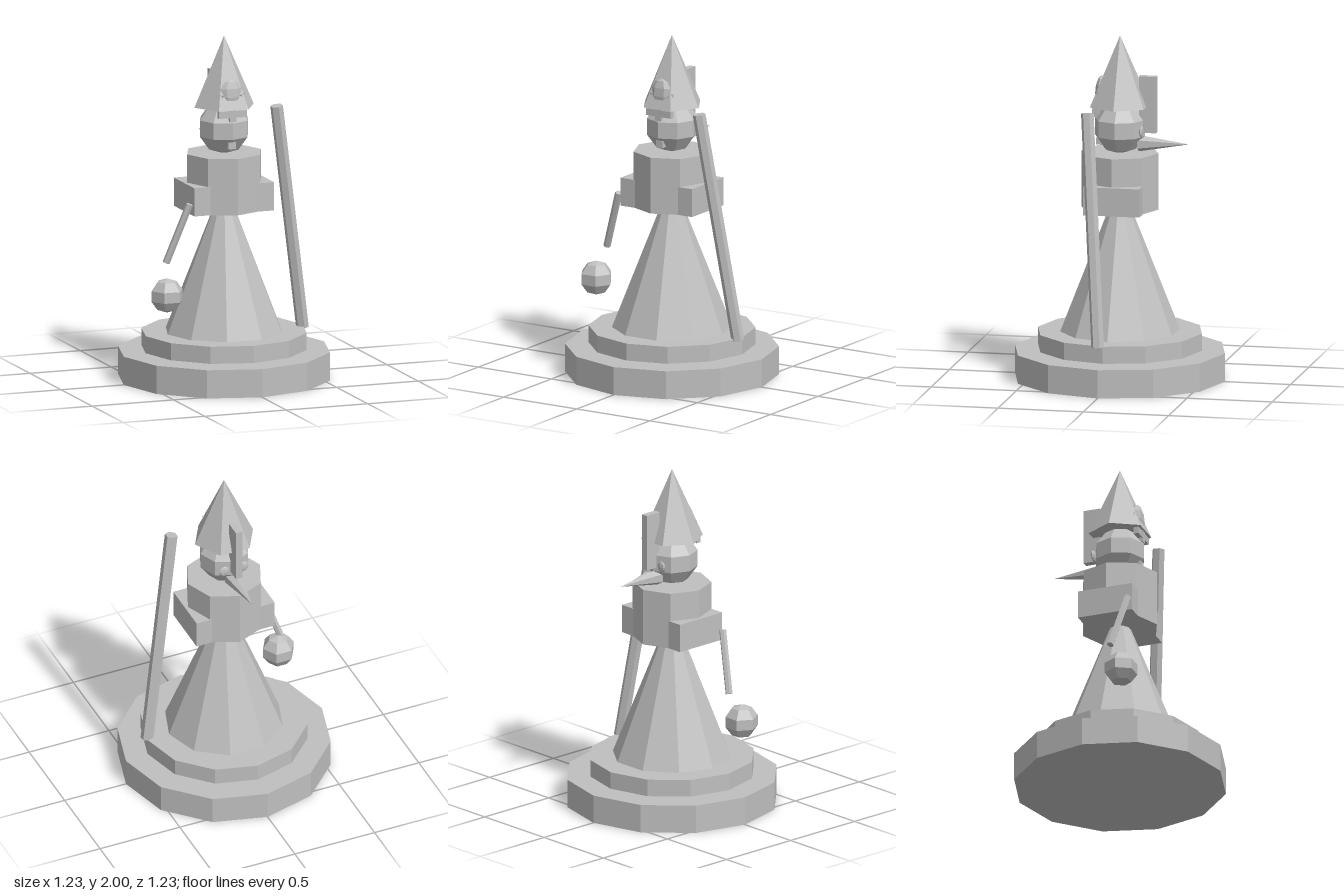
import * as THREE from 'three';

export function createModel() {
  const model = new THREE.Group();
  const stone = new THREE.MeshStandardMaterial({ color: 0xbfbfbf, flatShading: true });
  stone.name = 'stone grey';

  const add = (name, geometry, x = 0, y = 0, z = 0) => {
    const mesh = new THREE.Mesh(geometry, stone);
    mesh.name = name;
    mesh.position.set(x, y, z);
    model.add(mesh);
    return mesh;
  };

  // Upright faceted cylinder or cone with a corner on the x axis
  const column = (name, rTop, rBottom, y0, y1, sides) => {
    const g = new THREE.CylinderGeometry(rTop, rBottom, y1 - y0, sides);
    g.rotateY(Math.PI / 2);
    return add(name, g, 0, (y0 + y1) / 2, 0);
  };

  // Faceted rod between two points
  const rod = (name, from, to, r0, r1, sides) => {
    const a = new THREE.Vector3(...from);
    const b = new THREE.Vector3(...to);
    const dir = b.clone().sub(a);
    const mesh = add(name, new THREE.CylinderGeometry(r1, r0, dir.length(), sides));
    mesh.position.copy(a).add(b).multiplyScalar(0.5);
    mesh.quaternion.setFromUnitVectors(new THREE.Vector3(0, 1, 0), dir.normalize());
    return mesh;
  };

  // Stepped base
  column('base', 0.615, 0.615, 0, 0.165, 12);
  column('baseStep', 0.48, 0.48, 0.175, 0.275, 12);

  // Robe and torso
  column('robe', 0, 0.388, 0.165, 1.153, 10);
  column('torso', 0.226, 0.226, 0.99, 1.32, 8);
  add('shoulders', new THREE.BoxGeometry(0.49, 0.165, 0.33), 0, 1.0725, 0);

  // Head and pointed hat
  add('head', new THREE.SphereGeometry(0.155, 8, 5), 0, 1.465, 0);
  column('hat', 0, 0.182, 1.59, 2, 6);

  // Beak, eyes and upright crest on the rear side
  rod('beak', [0, 1.375, -0.11], [0, 1.38, -0.405], 0.048, 0, 6);
  add('crest', new THREE.BoxGeometry(0.04, 0.33, 0.1), 0, 1.605, -0.165);
  for (const side of [-1, 1]) {
    const eye = add('eye', new THREE.SphereGeometry(0.033, 8, 6), side * 0.06, 1.455, -0.138);
    eye.scale.z = 0.35;
  }

  // Mask ornament on the front of the hat
  const mask = add('mask', new THREE.SphereGeometry(0.08, 6, 5), 0, 1.685, 0.115);
  mask.scale.set(0.85, 1, 0.33);
  mask.rotation.x = -0.1;
  for (const side of [-1, 1]) {
    const ear = add('maskEar', new THREE.ConeGeometry(0.03, 0.085, 4), side * 0.07, 1.635, 0.115);
    ear.rotation.z = Math.PI + side * 0.35;
    ear.scale.z = 0.6;
  }
  add('maskCrossbar', new THREE.BoxGeometry(0.17, 0.04, 0.03), 0, 1.565, 0.13);
  add('maskUpright', new THREE.BoxGeometry(0.04, 0.09, 0.03), 0, 1.565, 0.132);
  add('chinStud', new THREE.BoxGeometry(0.045, 0.04, 0.04), 0, 1.38, 0.115);

  // Staff on the left, arm and hanging ball on the right
  rod('staff', [0.47, 0.265, 0.03], [0.272, 1.595, 0.133], 0.037, 0.037, 6);
  rod('arm', [-0.388, 0.715, 0.087], [-0.268, 1.06, 0.148], 0.021, 0.021, 6);
  add('ball', new THREE.SphereGeometry(0.1, 6, 5), -0.412, 0.54, 0.162);

  return model;
}
